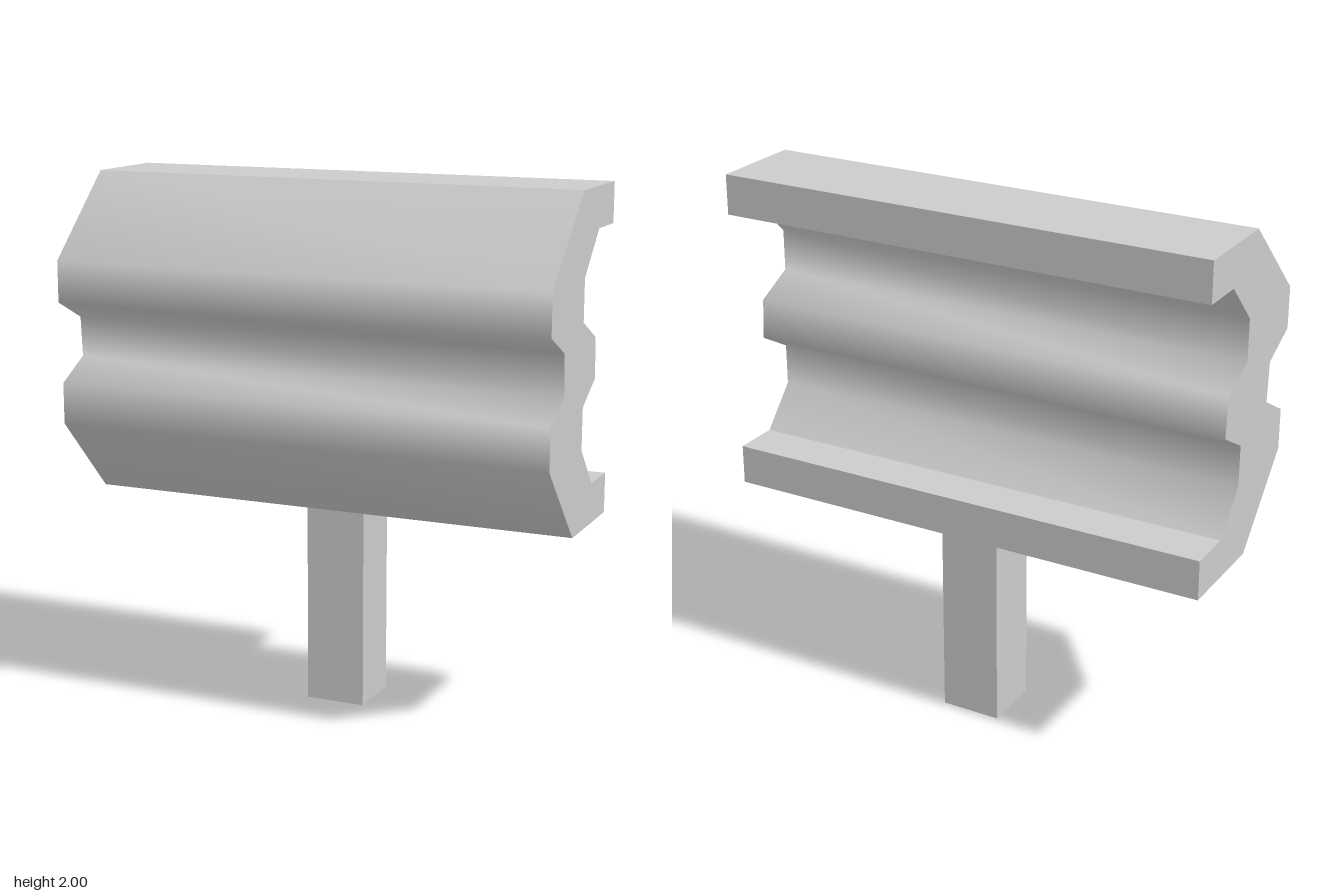
import * as THREE from 'three';

const HALF = 0.95; // half the panel's length along x

// Panel profile as smooth runs of [z, y], going down the front and up the back.
const frontRun = [
  [0.02, 2], [0.345, 1.695], [0.345, 1.54], [0.195, 1.465], [0.185, 1.315],
  [0.33, 1.235], [0.33, 1.08], [0.045, 0.78],
];
const backRun = [
  [-0.17, 0.93], [-0.035, 1.08], [-0.035, 1.235], [-0.175, 1.315],
  [-0.165, 1.465], [-0.015, 1.54], [-0.015, 1.695], [-0.17, 1.85],
];
const lowerLip = [[-0.345, 0.78], [-0.345, 0.93]];
const upperLip = [[-0.345, 1.85], [-0.345, 2]];

// Sweeps one run of the profile along x, smooth inside the run.
function strip(points) {
  const positions = [], index = [];
  points.forEach(([z, y], i) => {
    positions.push(-HALF, y, z, HALF, y, z);
    if (i) {
      const a = 2 * i - 2;
      index.push(a, a + 2, a + 3, a, a + 3, a + 1);
    }
  });
  const geometry = new THREE.BufferGeometry();
  geometry.setAttribute('position', new THREE.Float32BufferAttribute(positions, 3));
  geometry.setIndex(index);
  geometry.computeVertexNormals();
  return geometry;
}

// Flat end of the panel on the given side (+1 or -1).
function endCap(side, outline) {
  const shape = new THREE.Shape(outline.map(([z, y]) => new THREE.Vector2(-side * z, y)));
  return new THREE.ShapeGeometry(shape).rotateY(side * Math.PI / 2).translate(side * HALF, 0, 0);
}

export function createModel() {
  const group = new THREE.Group();
  const material = new THREE.MeshStandardMaterial({ color: 0xcccccc });
  const flat = new THREE.MeshStandardMaterial({ color: 0xcccccc, flatShading: true });
  const add = (parent, name, geometry, mat = material) => {
    const mesh = new THREE.Mesh(geometry, mat);
    mesh.name = name;
    parent.add(mesh);
    return mesh;
  };

  // Ridged panel: two smooth faces, hard-edged lips and flat ends
  const panel = new THREE.Group();
  panel.name = 'ridgedPanel';
  group.add(panel);
  add(panel, 'frontFace', strip(frontRun));
  add(panel, 'backFace', strip(backRun));
  const lips = [
    ['lowerLip', [frontRun.at(-1), ...lowerLip, backRun[0]]],
    ['upperLip', [backRun.at(-1), ...upperLip, frontRun[0]]],
  ];
  for (const [name, run] of lips) {
    for (let i = 0; i < 3; i++) add(panel, name, strip(run.slice(i, i + 2)));
  }
  const outline = [...frontRun, ...lowerLip, ...backRun, ...upperLip];
  add(panel, 'leftEnd', endCap(1, outline));
  add(panel, 'rightEnd', endCap(-1, outline));

  // Square post with a shallow flare where it meets the panel
  add(group, 'post', new THREE.BoxGeometry(0.23, 0.775, 0.23), flat)
    .position.set(0, 0.3875, -0.148);
  const flare = new THREE.CylinderGeometry(0.195 * Math.SQRT2, 0.115 * Math.SQRT2, 0.015, 4, 1, true);
  add(group, 'postFlare', flare.rotateY(Math.PI / 4), flat)
    .position.set(0, 0.7725, -0.148);
  return group;
}
